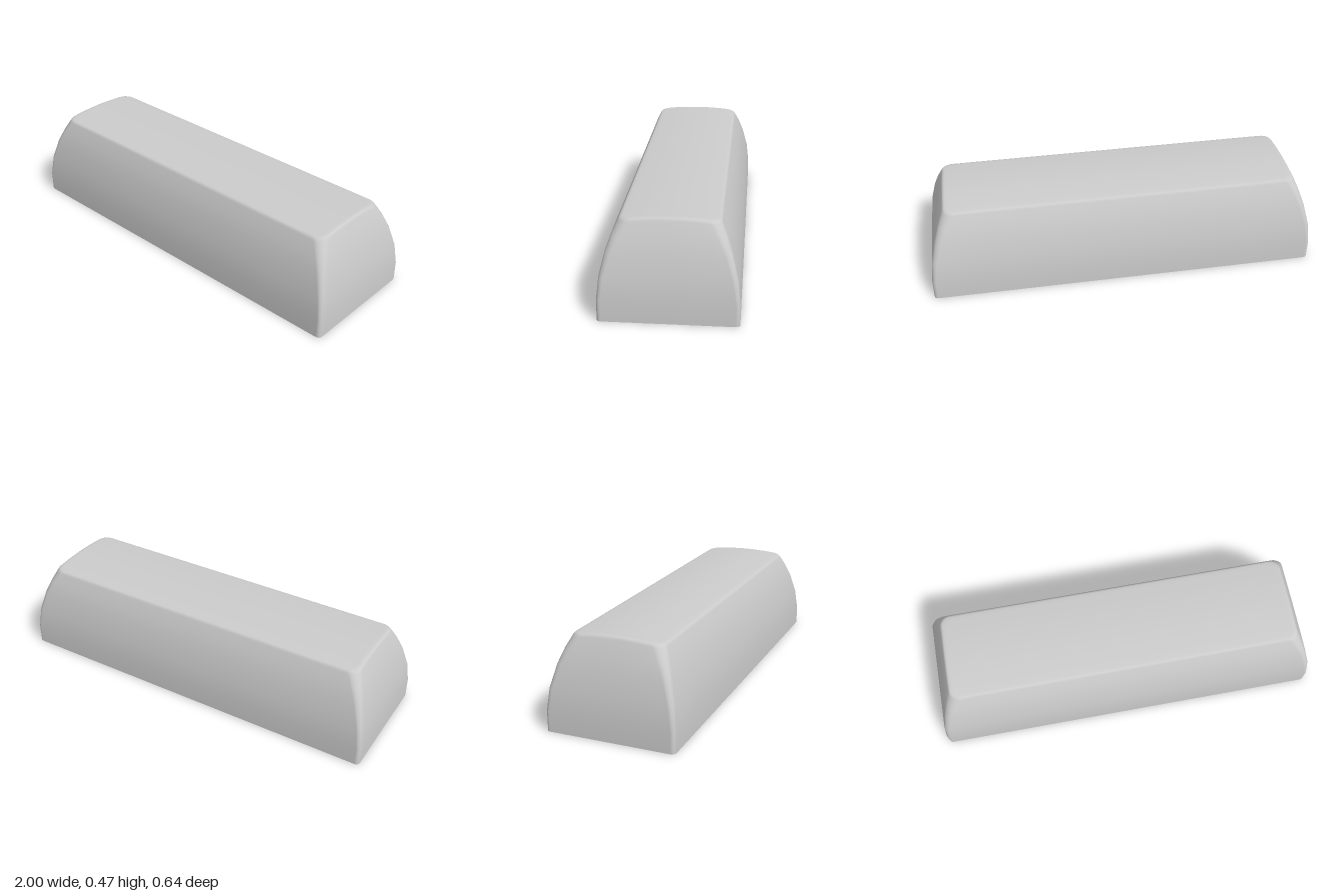
import * as THREE from 'three';

const END_OFFSET = 0.678; // half length minus half depth, constant up the body

// Rounded-rectangle outline as [x, z] pairs, anticlockwise seen from above
function outline(hd, r) {
  const hw = hd + END_OFFSET, arc = 6, pts = [];
  const cx = [1, -1, -1, 1], cz = [-1, -1, 1, 1];
  const corner = (k, i) => {
    const a = (k + i / arc) * Math.PI / 2;
    return [cx[k] * (hw - r) + r * Math.cos(a), cz[k] * (hd - r) - r * Math.sin(a)];
  };
  for (let k = 0; k < 4; k++) {
    for (let i = 0; i <= arc; i++) pts.push(corner(k, i));
    const a = corner(k, arc), b = corner((k + 1) % 4, 0), n = k % 2 ? 14 : 8;
    for (let i = 1; i < n; i++) {
      const t = i / n;
      pts.push([a[0] + (b[0] - a[0]) * t, a[1] + (b[1] - a[1]) * t]);
    }
  }
  return pts;
}

// Skin through stacked rings: [half depth, height, corner radius, crown amount]
function loft(rings) {
  const pos = [], index = [];
  let n = 0;
  for (const [hd, y, r, crown] of rings) {
    const pts = outline(hd, r);
    n = pts.length;
    for (const [x, z] of pts) {
      const lift = 0.014 * Math.max(0, 1 - (z / 0.218) ** 2);
      pos.push(x, y + crown * lift, z);
    }
  }
  for (let i = 0; i < rings.length - 1; i++) {
    for (let j = 0; j < n; j++) {
      const a = i * n + j, b = i * n + (j + 1) % n;
      index.push(a, b, b + n, a, b + n, a + n);
    }
  }
  const g = new THREE.BufferGeometry();
  g.setAttribute('position', new THREE.Float32BufferAttribute(pos, 3));
  g.setIndex(index);
  g.computeVertexNormals();
  return g;
}

export function createModel() {
  const group = new THREE.Group();
  group.name = 'longKeycap';
  const material = new THREE.MeshStandardMaterial({ color: 0xcccccc });

  // Curved walls, narrow rounded rim, then the crowned top closing inward
  const rings = [
    [0.322, 0, 0.02, 0],
    [0.322, 0.1, 0.02, 0],
    [0.31, 0.21, 0.025, 0.1],
    [0.283, 0.32, 0.033, 0.35],
    [0.258, 0.39, 0.042, 0.65],
    [0.233, 0.444, 0.05, 0.95],
    [0.229, 0.451, 0.05, 1],
    [0.224, 0.456, 0.048, 1],
    [0.216, 0.4585, 0.045, 1],
    [0.2, 0.4585, 0.04, 1],
    [0.15, 0.4585, 0.03, 1],
    [0.1, 0.4585, 0.02, 1],
    [0.05, 0.4585, 0.01, 1],
    [0, 0.4585, 0, 1],
  ];
  const body = new THREE.Mesh(loft(rings), material);
  body.name = 'capBody';
  group.add(body);

  // Flat underside
  const shape = new THREE.Shape(outline(0.322, 0.02).map(([x, z]) => new THREE.Vector2(x, z)));
  const base = new THREE.Mesh(new THREE.ShapeGeometry(shape).rotateX(Math.PI / 2), material);
  base.name = 'underside';
  group.add(base);

  return group;
}
